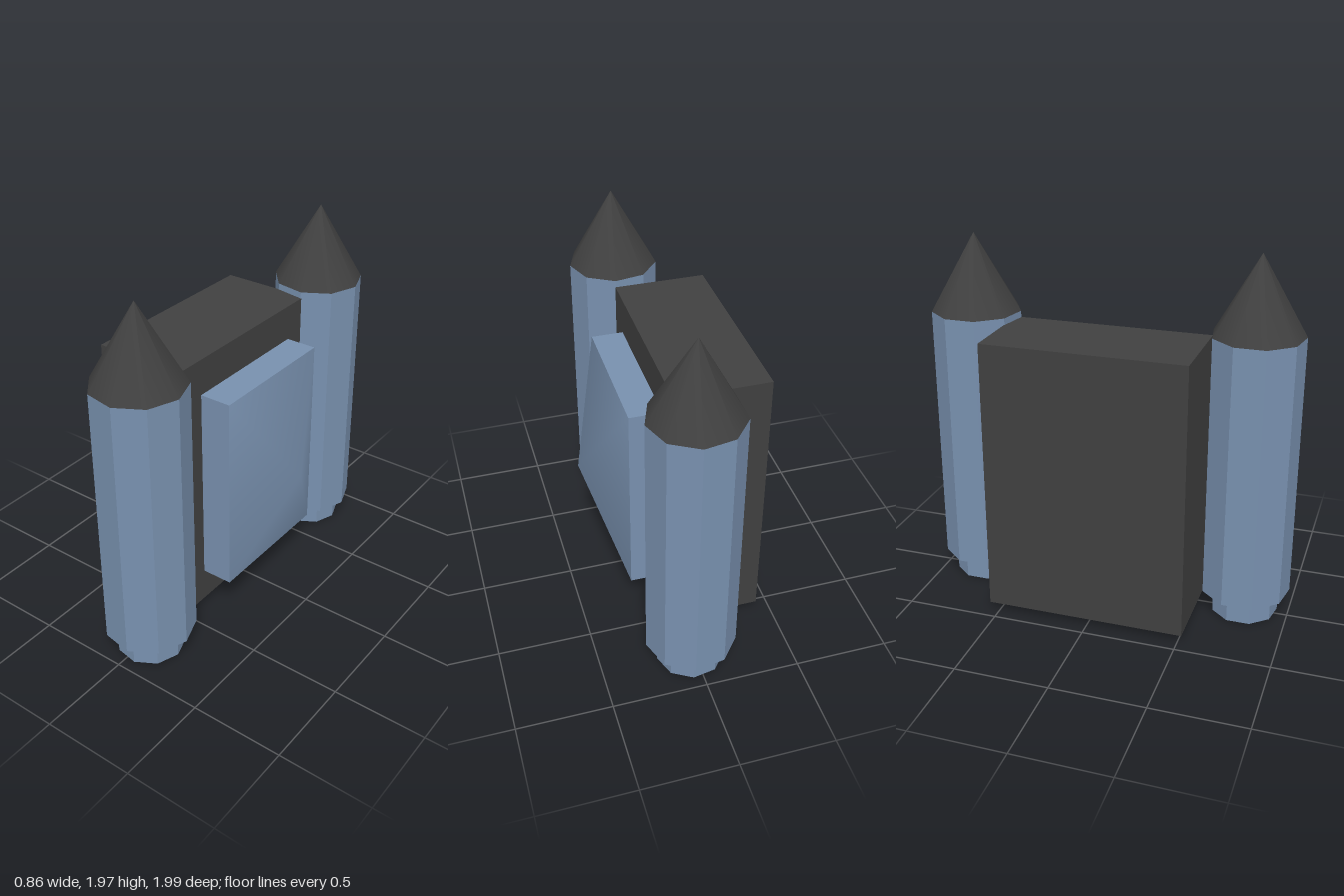
import * as THREE from 'three';

const blue = new THREE.MeshStandardMaterial({ color: 0x7890ae });
const blueFlat = new THREE.MeshStandardMaterial({ color: 0x7890ae, flatShading: true });
const dark = new THREE.MeshStandardMaterial({ color: 0x404040 });

function add(parent, name, geometry, material, x, y, z) {
  const mesh = new THREE.Mesh(geometry, material);
  mesh.name = name;
  mesh.position.set(x, y, z);
  parent.add(mesh);
  return mesh;
}

// Nine-sided prism or cone with one corner pointing to +x
function nineSided(rTop, rBottom, height) {
  return new THREE.CylinderGeometry(rTop, rBottom, height, 9, 1, false, Math.PI / 2);
}

// Shallow four-sided pyramid pointing to +x, with its shading smoothed across the ridges
function pyramid(depth, height, width) {
  const h = height / 2, w = width / 2;
  const geometry = new THREE.BufferGeometry();
  geometry.setAttribute('position', new THREE.Float32BufferAttribute(
    [0, -h, w, 0, -h, -w, 0, h, -w, 0, h, w, depth, 0, 0], 3));
  geometry.setIndex([0, 1, 4, 1, 2, 4, 2, 3, 4, 3, 0, 4]);
  geometry.computeVertexNormals();
  return geometry;
}

// Booster: tank, nozzle below and pointed cap above
function createBooster(name, z) {
  const booster = new THREE.Group();
  booster.name = name;
  booster.position.set(0.02, 0, z);
  add(booster, 'nozzle', nineSided(0.18, 0.18, 0.125), blueFlat, 0, 0.0625, 0);
  add(booster, 'tank', nineSided(0.24, 0.24, 1.43), blueFlat, 0, 0.84, 0);
  add(booster, 'noseCone', nineSided(0, 0.24, 0.415), dark, 0, 1.7625, 0);
  return booster;
}

export function createModel() {
  const model = new THREE.Group();
  model.name = 'jetpack';

  // Central pack
  add(model, 'pack', new THREE.BoxGeometry(0.495, 1.48, 1.075), dark, -0.1825, 0.78, -0.0175);

  // Raised cover panel with a pointed face
  const panel = new THREE.Group();
  panel.name = 'coverPanel';
  panel.position.set(0.07, 0.783, -0.017);
  add(panel, 'panelSlab', new THREE.BoxGeometry(0.17, 1.095, 0.76), blue, 0.085, 0, 0);
  add(panel, 'panelPoint', pyramid(0.185, 1.095, 0.76), blue, 0.17, 0, 0);
  model.add(panel);

  // Boosters on both ends
  model.add(createBooster('frontBooster', 0.76), createBooster('backBooster', -0.76));
  return model;
}
